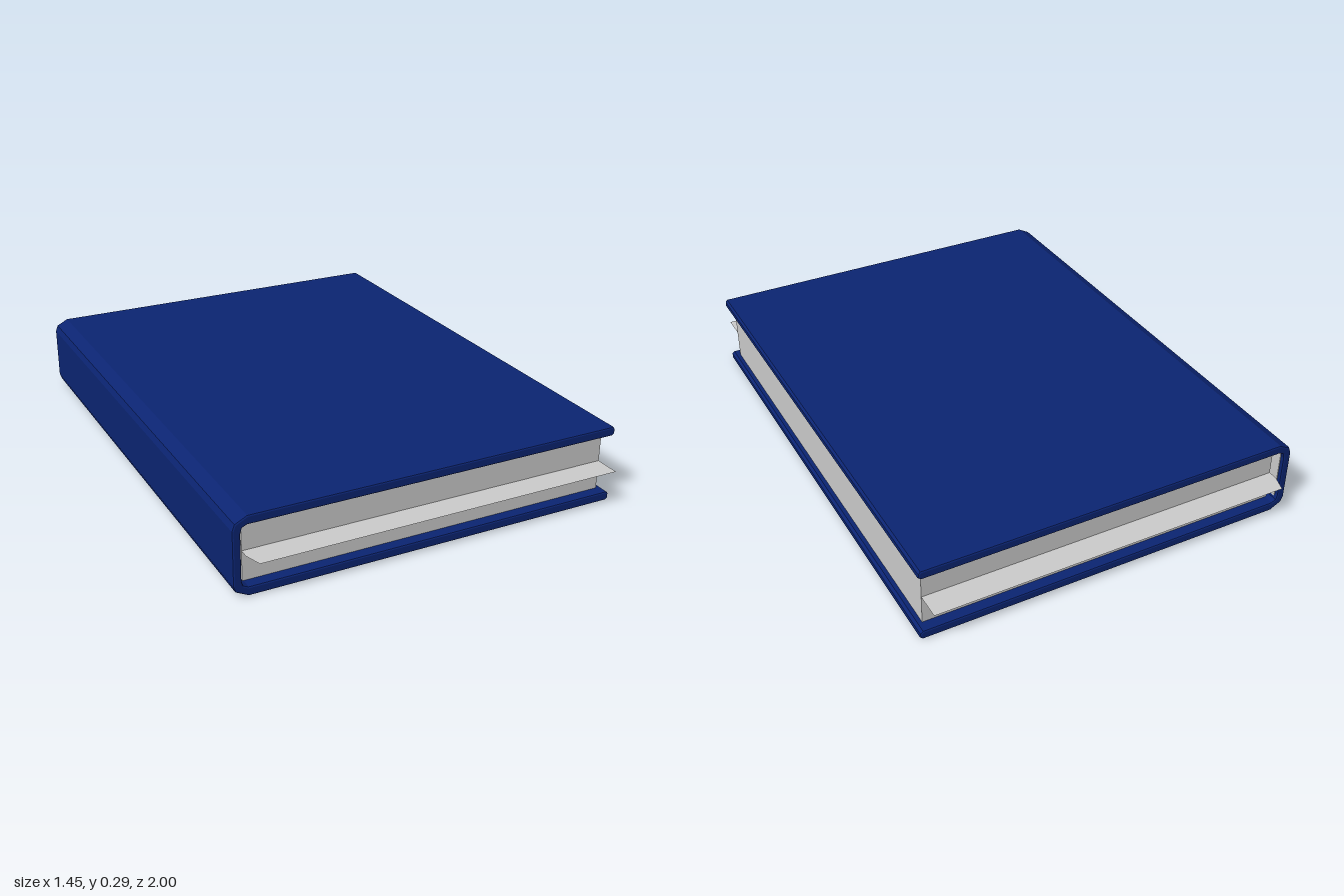
import * as THREE from 'three';

export function createModel() {
  const book = new THREE.Group();
  book.name = 'book';

  const coverBlue = new THREE.MeshStandardMaterial({ color: 0x0b2472 });
  coverBlue.name = 'coverBlue';
  const paperGrey = new THREE.MeshStandardMaterial({ color: 0xcccccc, side: THREE.DoubleSide });
  paperGrey.name = 'paperGrey';

  const add = (name, geometry, material, x = 0, y = 0, z = 0) => {
    const mesh = new THREE.Mesh(geometry, material);
    mesh.name = name;
    mesh.position.set(x, y, z);
    book.add(mesh);
  };

  // Cover: C-shaped section of two boards and a spine, mirrored about mid height
  const height = 0.288;
  const lowerHalf = [
    [-0.697, 0.06], [-0.692, 0.042], [-0.675, 0.034],
    [0.715, 0.034], [0.725, 0.026], [0.725, 0.008], [0.717, 0],
    [-0.675, 0], [-0.69, 0.008], [-0.718, 0.022], [-0.727, 0.045],
  ];
  const upperHalf = lowerHalf.map(([x, y]) => [x, height - y]).reverse();
  const section = new THREE.Shape(
    [...lowerHalf, ...upperHalf].map(([x, y]) => new THREE.Vector2(x, y)));
  const bevel = 0.008, length = 1.89;
  const coverGeometry = new THREE.ExtrudeGeometry(section, {
    depth: length - 2 * bevel,
    bevelThickness: bevel, bevelSize: 0.006, bevelOffset: -0.006, bevelSegments: 2,
  });
  add('cover', coverGeometry, coverBlue, 0, 0, -length / 2 + bevel);

  // Page block and the lining inside the spine
  add('pageBlock', new THREE.BoxGeometry(1.38, 0.224, 1.81), paperGrey, 0.01, height / 2);
  add('spineLining', new THREE.BoxGeometry(0.004, 0.21, 1.86), paperGrey, -0.696, height / 2);

  // Loose sheet sticking out at both ends, with clipped corners by the spine
  const sheet = new THREE.Shape([
    [-0.68, -0.94], [-0.66, -1], [0.7, -1], [0.7, 1], [-0.66, 1], [-0.68, 0.94],
  ].map(([x, z]) => new THREE.Vector2(x, z)));
  const sheetGeometry = new THREE.ShapeGeometry(sheet).rotateX(-Math.PI / 2);
  add('looseSheet', sheetGeometry, paperGrey, 0, 0.143);

  return book;
}
